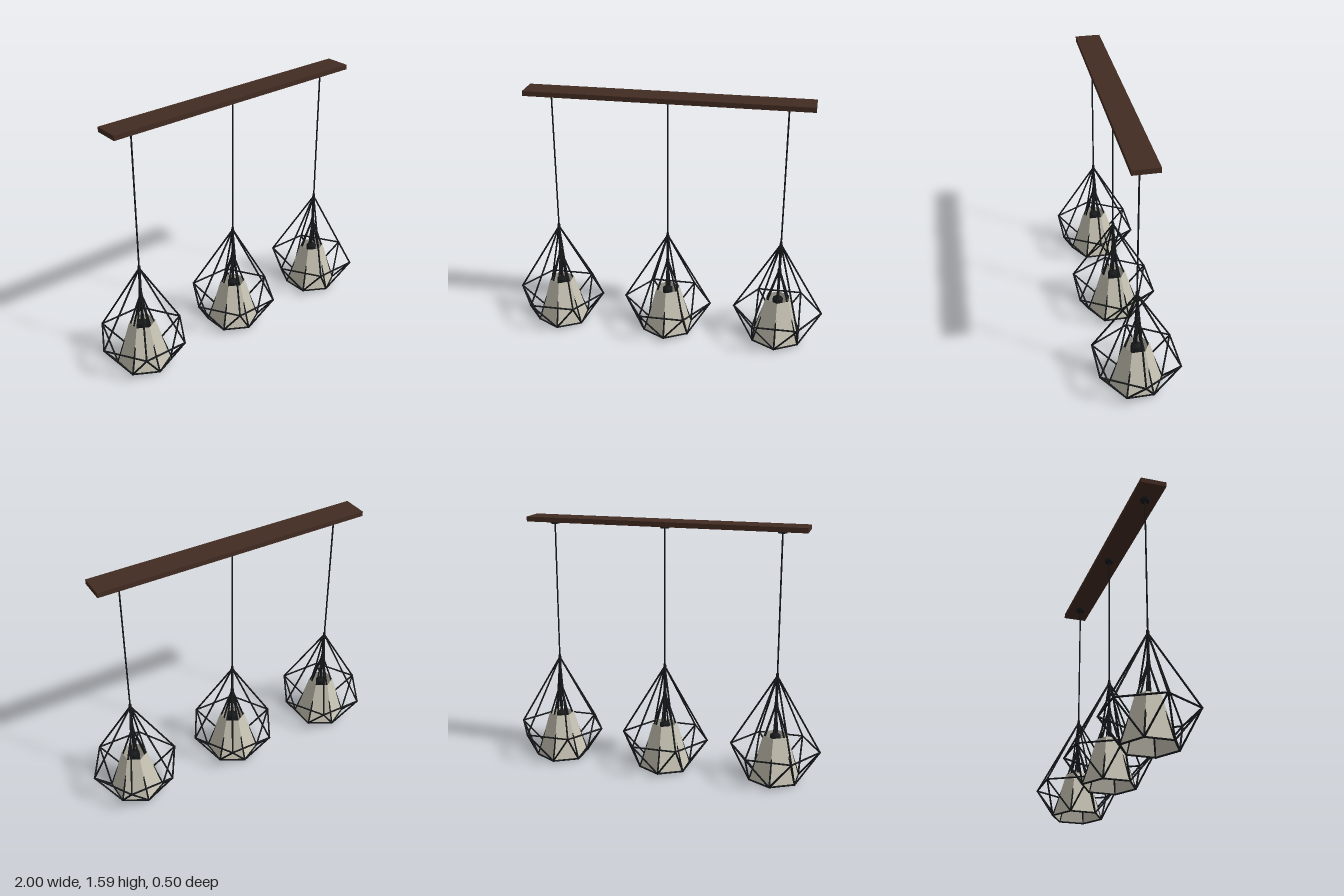
import * as THREE from 'three';

const black = new THREE.MeshStandardMaterial({ color: 0x17191b });
black.name = 'blackMetal';
const wood = new THREE.MeshStandardMaterial({ color: 0x432c22 });
wood.name = 'darkWood';
const glass = new THREE.MeshStandardMaterial({ color: 0xc8c4b5, side: THREE.DoubleSide, flatShading: true });
glass.name = 'paleShade';

function add(parent, name, geometry, material) {
  const mesh = new THREE.Mesh(geometry, material);
  mesh.name = name;
  parent.add(mesh);
  return mesh;
}

// Round bar between two points
function bar(parent, name, a, b, radius = 0.0055) {
  const dir = b.clone().sub(a);
  const mesh = add(parent, name, new THREE.CylinderGeometry(radius, radius, dir.length(), 8), black);
  mesh.position.copy(a).add(b).multiplyScalar(0.5);
  mesh.quaternion.setFromUnitVectors(new THREE.Vector3(0, 1, 0), dir.normalize());
  return mesh;
}

// Upright cylinder between two heights
function post(parent, name, rTop, rBottom, y0, y1, sides = 16) {
  const mesh = add(parent, name, new THREE.CylinderGeometry(rTop, rBottom, y1 - y0, sides), black);
  mesh.position.y = (y0 + y1) / 2;
  return mesh;
}

// Six corners of a level hexagon
function hexagon(radius, y, turn) {
  return Array.from({ length: 6 }, (_, i) => {
    const a = turn + (i * Math.PI) / 3;
    return new THREE.Vector3(Math.cos(a) * radius, y, Math.sin(a) * radius);
  });
}

function createPendant() {
  const pendant = new THREE.Group();
  pendant.name = 'pendant';

  // Wire cage: wide ring, lower ring turned by half a step, two peaks
  const cage = new THREE.Group();
  cage.name = 'wireCage';
  pendant.add(cage);
  const wide = hexagon(0.28, 0.206, 0);
  const low = hexagon(0.165, 0.009, Math.PI / 6);
  const peak = new THREE.Vector3(0, 0.675, 0);
  const innerPeak = new THREE.Vector3(0, 0.5, 0);
  const joint = new THREE.SphereGeometry(0.0065, 8, 6);
  for (let i = 0; i < 6; i++) {
    const next = (i + 1) % 6;
    bar(cage, 'upperBar', wide[i], peak);
    bar(cage, 'wideRingBar', wide[i], wide[next]);
    bar(cage, 'lowerBar', wide[i], low[i]);
    bar(cage, 'lowerBar', wide[next], low[i]);
    bar(cage, 'lowRingBar', low[i], low[next]);
    bar(cage, 'innerBar', low[i], innerPeak);
    add(cage, 'joint', joint, black).position.copy(wide[i]);
    add(cage, 'joint', joint, black).position.copy(low[i]);
  }

  // Six-sided shade, open at both ends
  const shade = add(pendant, 'shade', new THREE.CylinderGeometry(0.08, 0.164, 0.286, 6, 1, true), glass);
  shade.position.y = 0.152;

  // Hanging hardware
  post(pendant, 'cord', 0.005, 0.005, 0.67, 1.565, 8);
  post(pendant, 'topHub', 0.008, 0.012, 0.65, 0.692);
  post(pendant, 'stem', 0.009, 0.009, 0.3, 0.67, 10);
  post(pendant, 'stemCollar', 0.011, 0.014, 0.47, 0.505);
  post(pendant, 'socketCap', 0.015, 0.032, 0.292, 0.306);
  post(pendant, 'socket', 0.032, 0.032, 0.21, 0.292);
  post(pendant, 'ceilingCap', 0.031, 0.027, 1.547, 1.566, 20);
  return pendant;
}

export function createModel() {
  const model = new THREE.Group();
  model.name = 'tripleCagePendantLight';

  const board = add(model, 'ceilingBoard', new THREE.BoxGeometry(1.74, 0.03, 0.157), wood);
  board.position.y = 1.578;

  for (const x of [-0.714, 0, 0.714]) {
    const pendant = createPendant();
    pendant.position.x = x;
    model.add(pendant);
  }
  return model;
}
